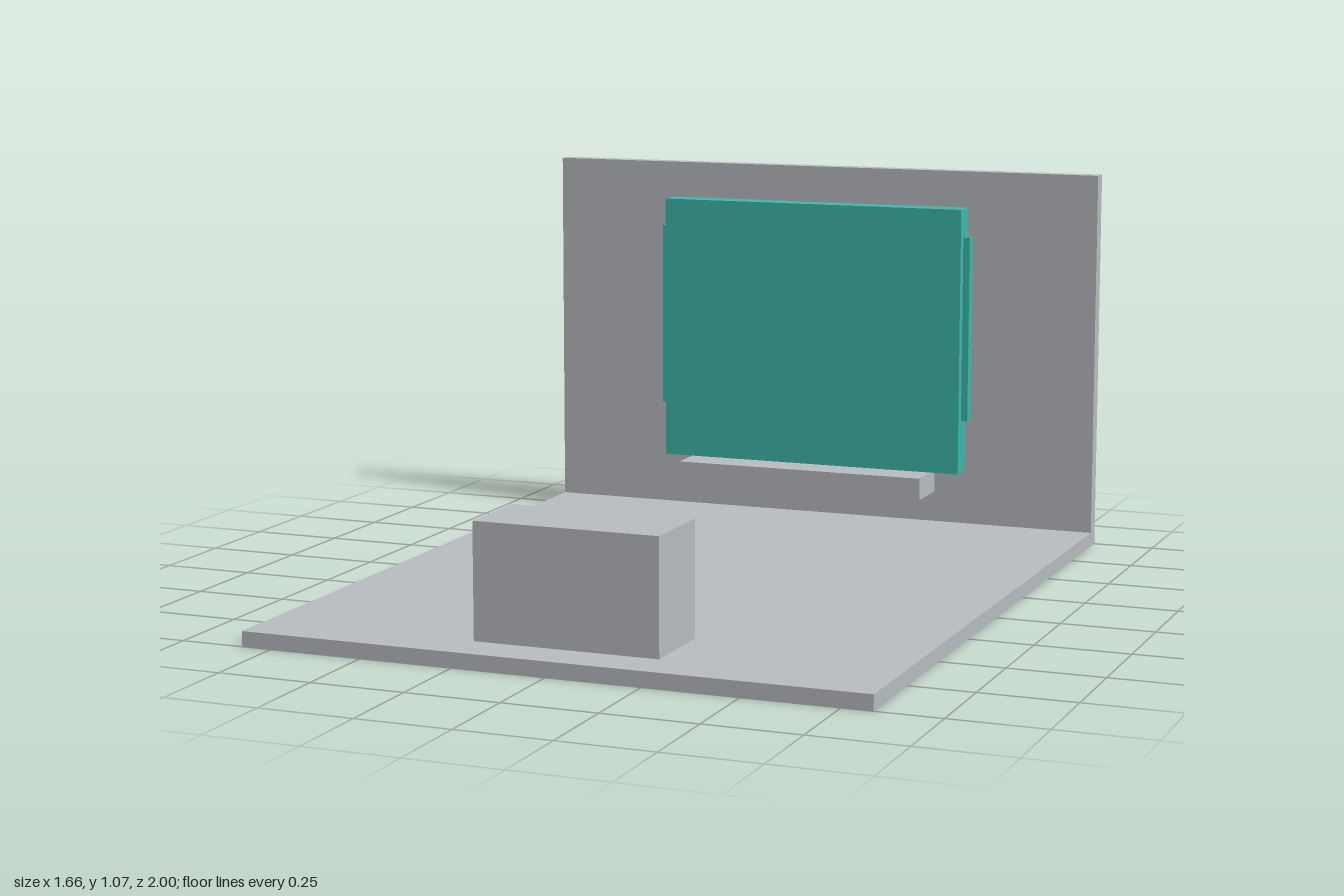
import * as THREE from 'three';

export function createModel() {
  const model = new THREE.Group();
  model.name = 'displayRoom';

  const grey = new THREE.MeshStandardMaterial({ color: 0xbabdc2 });
  grey.name = 'pale grey';
  const teal = new THREE.MeshStandardMaterial({ color: 0x3ebaac });
  teal.name = 'teal';

  // Box given by its extents, [min, max] along each axis
  function box(name, material, [x0, x1], [y0, y1], [z0, z1], parent = model) {
    const mesh = new THREE.Mesh(new THREE.BoxGeometry(x1 - x0, y1 - y0, z1 - z0), material);
    mesh.position.set((x0 + x1) / 2, (y0 + y1) / 2, (z0 + z1) / 2);
    mesh.name = name;
    parent.add(mesh);
  }

  // Room shell
  box('floor', grey, [-0.83, 0.83], [0, 0.04], [-0.957, 1]);
  box('backWall', grey, [-0.83, 0.83], [0, 1.07], [-1, -0.957]);

  // Furniture: shelf under the panel and the block facing it
  box('shelf', grey, [-0.372, 0.372], [0.137, 0.2], [-0.91, -0.767]);
  box('block', grey, [-0.247, 0.247], [0.04, 0.342], [0.65, 0.88]);

  // Panel with a thin back plate and a strip on each side
  const panel = new THREE.Group();
  panel.name = 'panel';
  model.add(panel);
  box('panelBody', teal, [-0.456, 0.456], [0.201, 0.968], [-0.934, -0.865], panel);
  box('panelBackPlate', teal, [-0.3, 0.3], [0.38, 0.857], [-0.94, -0.934], panel);
  for (const [name, side] of [['leftStrip', 1], ['rightStrip', -1]]) {
    const x = [0.456 * side, 0.475 * side].sort((a, b) => a - b);
    box(name, teal, x, [0.354, 0.887], [-0.923, -0.89], panel);
  }

  return model;
}
